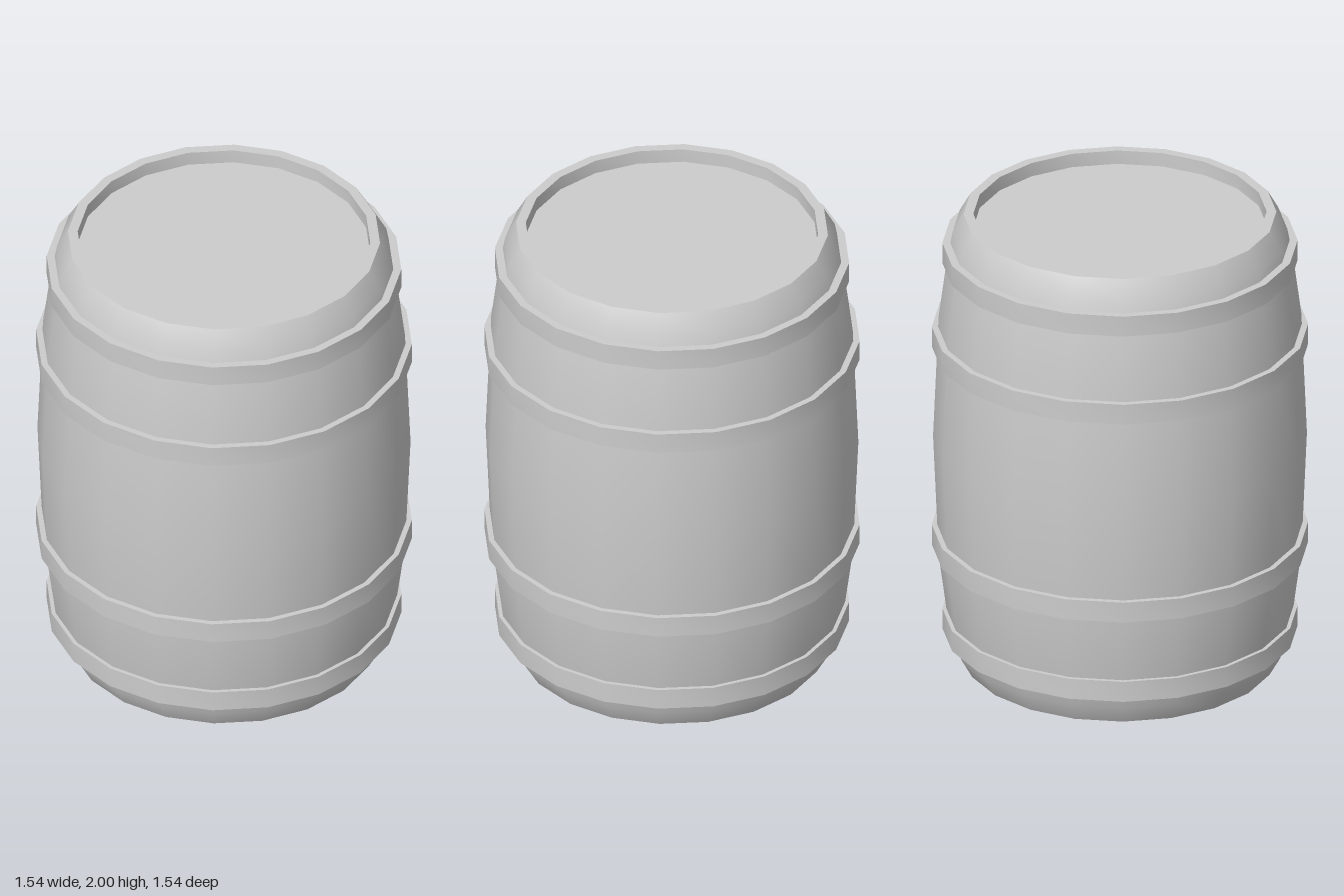
import * as THREE from 'three';
import { toCreasedNormals } from 'three/addons/utils/BufferGeometryUtils.js';

const SIDES = 20;

// Turned solid: smooth around, sharp at the rims
function turned(points) {
  const profile = points.map(([r, y]) => new THREE.Vector2(r, y));
  return toCreasedNormals(new THREE.LatheGeometry(profile, SIDES), THREE.MathUtils.degToRad(35));
}

export function createModel() {
  const barrel = new THREE.Group();
  barrel.name = 'barrel';
  const grey = new THREE.MeshStandardMaterial({ color: 0xcccccc });
  grey.name = 'plain grey';

  const add = (name, points) => {
    const mesh = new THREE.Mesh(turned(points), grey);
    mesh.name = name;
    barrel.add(mesh);
  };

  // Bulging staves with bottom, from the base up over the rim to the recessed lid
  add('body', [
    [0, 0], [0.64, 0], [0.685, 0.08], [0.71, 0.215], [0.742, 0.46], [0.765, 1],
    [0.742, 1.54], [0.71, 1.785], [0.685, 1.92], [0.64, 2], [0.6, 2], [0.6, 1.94],
  ]);
  add('lid', [[0.6, 1.94], [0, 1.94]]);

  // Four hoops, mirrored about the middle
  const hoops = [
    ['lowerEndHoop', 0.727, 0.175], ['lowerMiddleHoop', 0.77, 0.553],
    ['upperMiddleHoop', 0.77, 1.447], ['upperEndHoop', 0.727, 1.825],
  ];
  for (const [name, r, y] of hoops) {
    const h = 0.045;
    add(name, [[r - 0.06, y - h], [r, y - h], [r, y + h], [r - 0.06, y + h]]);
  }
  return barrel;
}
